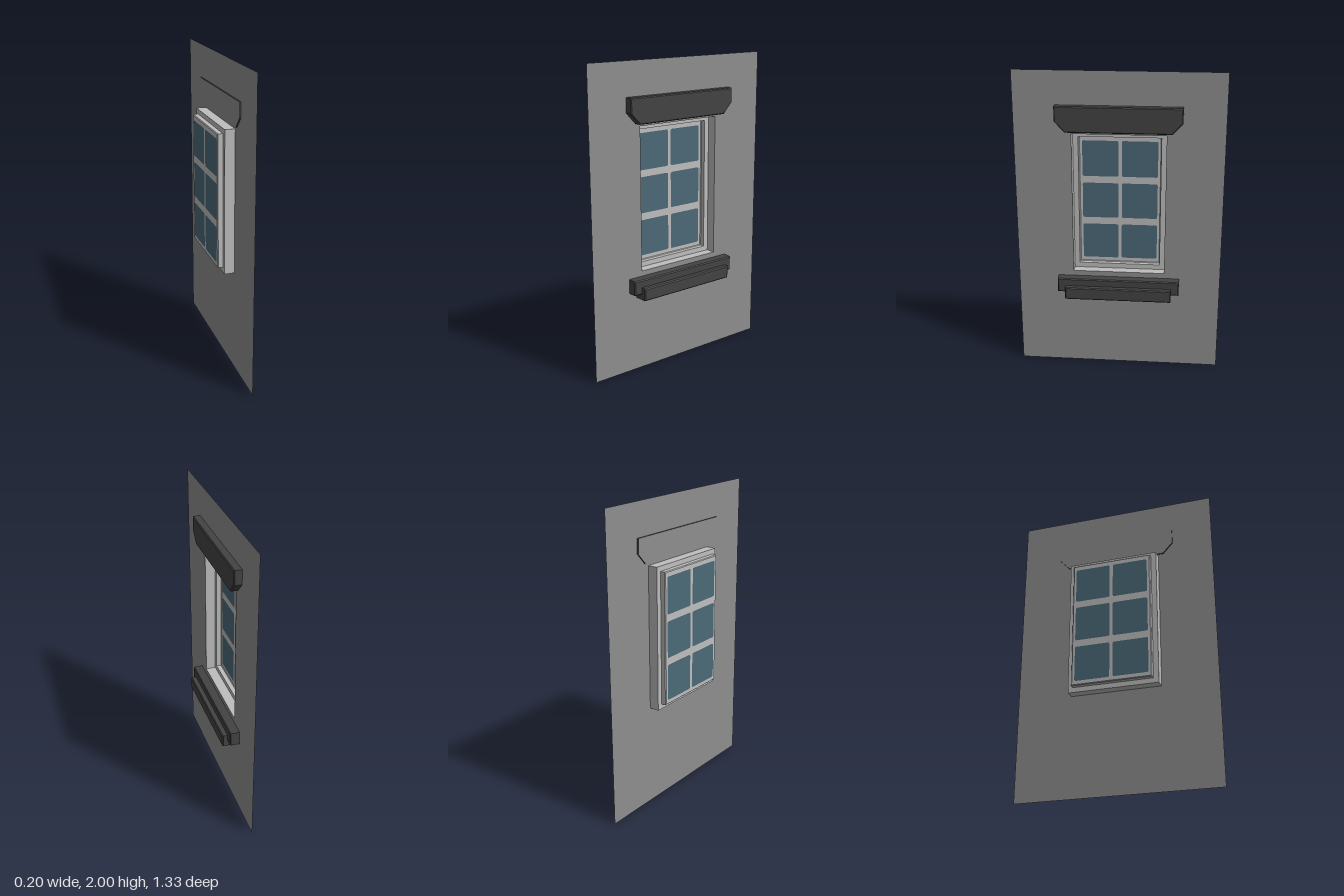
import * as THREE from 'three';

const mat = (name, color, side = THREE.FrontSide) =>
  new THREE.MeshStandardMaterial({ name, color, side, flatShading: true });

// Closed outline in the wall plane: s runs along -z, y is up, counter-clockwise seen from +x.
const rect = (half, y0, y1) => [[-half, y0], [half, y0], [half, y1], [-half, y1]];

// Skin between outlines placed at successive x positions, with an optional cap on the last.
function loft(sections, cap) {
  const pos = [];
  const put = (x, [s, y]) => pos.push(x, y, -s);
  for (let k = 0; k + 1 < sections.length; k++) {
    const [A, B] = [sections[k], sections[k + 1]];
    const n = A.pts.length;
    for (let i = 0; i < n; i++) {
      const j = (i + 1) % n;
      put(A.x, A.pts[i]); put(A.x, A.pts[j]); put(B.x, B.pts[j]);
      put(A.x, A.pts[i]); put(B.x, B.pts[j]); put(B.x, B.pts[i]);
    }
  }
  if (cap) {
    const { x, pts } = sections[sections.length - 1];
    for (let i = 1; i + 1 < pts.length; i++) [pts[0], pts[i], pts[i + 1]].forEach(p => put(x, p));
  }
  const g = new THREE.BufferGeometry();
  g.setAttribute('position', new THREE.Float32BufferAttribute(pos, 3));
  g.computeVertexNormals();
  return g;
}

// Block standing out from the wall, open at the back, with a small bevel on its front edge.
function block(pts, x0, x1, bevel = 0.006) {
  const ys = pts.map(p => p[1]);
  const lo = Math.min(...ys), hi = Math.max(...ys), mid = (lo + hi) / 2;
  const half = Math.max(...pts.map(p => p[0]));
  const ky = 1 - 2 * bevel / (hi - lo), ks = 1 - bevel / half;
  const inset = pts.map(([s, y]) => [s * ks, mid + (y - mid) * ky]);
  return loft([{ x: x0, pts }, { x: x1 - bevel, pts }, { x: x1, pts: inset }], true);
}

// Flat sheet in the wall plane, facing +x.
const sheet = (shape, x) => new THREE.ShapeGeometry(shape, 4).rotateY(Math.PI / 2).translate(x, 0, 0);
const outline = pts => new THREE.Shape(pts.map(([s, y]) => new THREE.Vector2(s, y)));

// Window pane with slightly rounded corners.
function pane(s, y, w, h, r = 0.012) {
  const p = new THREE.Shape();
  const [l, t, b, e] = [s - w / 2, y + h / 2, y - h / 2, s + w / 2];
  p.moveTo(l + r, b).lineTo(e - r, b).quadraticCurveTo(e, b, e, b + r);
  p.lineTo(e, t - r).quadraticCurveTo(e, t, e - r, t);
  p.lineTo(l + r, t).quadraticCurveTo(l, t, l, t - r);
  p.lineTo(l, b + r).quadraticCurveTo(l, b, l + r, b);
  return p;
}

export function createModel() {
  const model = new THREE.Group();
  model.name = 'windowInWall';
  const wallGrey = mat('wall grey', 0x8e8e8e, THREE.DoubleSide);
  const frameGrey = mat('frame light grey', 0xbfbebe, THREE.DoubleSide);
  const stone = mat('dark stone', 0x434343);
  const glassBlue = mat('glass blue', 0x4b6977, THREE.DoubleSide);
  const add = (name, geometry, material, parent = model) => {
    const m = new THREE.Mesh(geometry, material);
    m.name = name;
    parent.add(m);
  };

  // Wall sheet with the window opening
  const wall = outline(rect(0.667, 0, 2));
  wall.holes.push(outline(rect(0.3, 0.67, 1.602)));
  add('wall', sheet(wall, 0), wallGrey);

  // Stepped reveal running back from the opening
  const outer = rect(0.3, 0.67, 1.602), inner = rect(0.266, 0.703, 1.57);
  const back = rect(0.261, 0.708, 1.565);
  add('reveal', loft([
    { x: 0, pts: outer }, { x: -0.065, pts: outer },
    { x: -0.065, pts: inner }, { x: -0.095, pts: inner }, { x: -0.1, pts: back },
  ]), frameGrey);

  // Sash with two columns and three rows of panes
  const sash = outline(back);
  const panes = new THREE.Group();
  panes.name = 'panes';
  model.add(panes);
  for (const y of [0.851, 1.135, 1.418]) {
    for (const s of [-0.128, 0.128]) {
      const p = pane(s, y, 0.234, 0.238);
      sash.holes.push(p);
      add('pane', sheet(p, -0.1), glassBlue, panes);
    }
  }
  add('sash', sheet(sash, -0.1), frameGrey);

  // Lintel with clipped lower corners
  const lintel = [[-0.335, 1.62], [0.335, 1.62], [0.4, 1.69], [0.4, 1.785], [-0.4, 1.785], [-0.4, 1.69]];
  add('lintel', block(lintel, -0.01, 0.05), stone);

  // Sill and the narrower ledge beneath it
  add('sill', block(rect(0.4, 0.54, 0.635), 0, 0.063), stone);
  add('sillLedge', block(rect(0.348, 0.503, 0.586), 0, 0.098), stone);

  return model;
}
